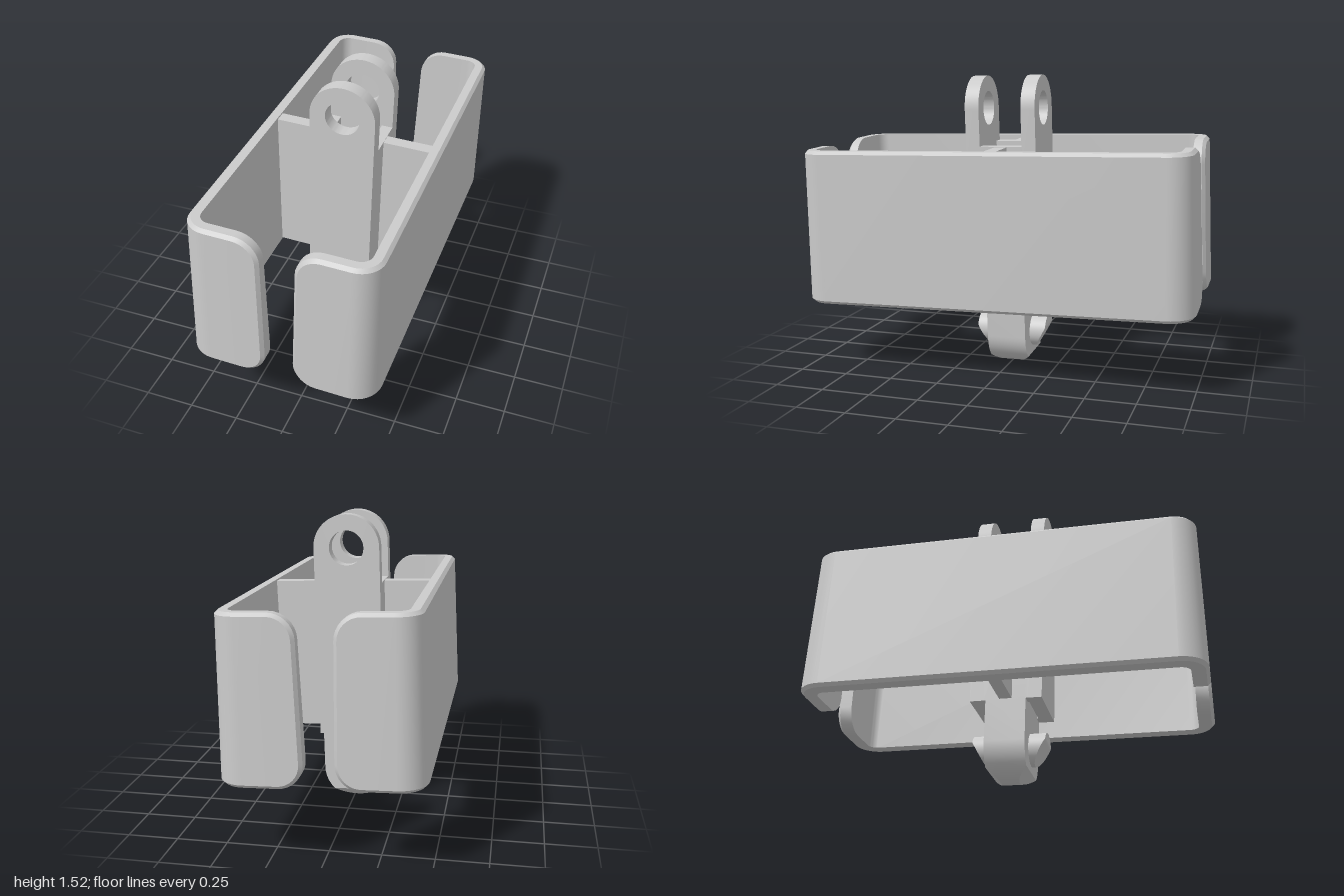
import * as THREE from 'three';
import { toCreasedNormals } from 'three/addons/utils/BufferGeometryUtils.js';

const material = new THREE.MeshStandardMaterial({ color: 0xcccccc, roughness: 0.7 });

function addMesh(parent, name, geometry) {
  const mesh = new THREE.Mesh(geometry, material);
  mesh.name = name;
  parent.add(mesh);
  return mesh;
}

function addBox(parent, name, [x0, x1], [y0, y1], [z0, z1]) {
  const geometry = new THREE.BoxGeometry(x1 - x0, y1 - y0, z1 - z0);
  addMesh(parent, name, geometry).position.set((x0 + x1) / 2, (y0 + y1) / 2, (z0 + z1) / 2);
}

// Joins closed rings of points into a skin; caps lists ring indices of the end quads.
function skin(rings, caps) {
  const n = rings[0].length;
  const positions = rings.flat(2);
  const index = [];
  const quad = (a, b, c, d) => index.push(a, b, c, a, c, d);
  for (let i = 0; i < rings.length - 1; i++) {
    for (let k = 0; k < n; k++) {
      const k2 = (k + 1) % n;
      quad(i * n + k, (i + 1) * n + k, (i + 1) * n + k2, i * n + k2);
    }
  }
  const last = (rings.length - 1) * n;
  for (const [a, b, c, d] of caps) {
    quad(a, b, c, d);
    quad(last + d, last + c, last + b, last + a);
  }
  const geometry = new THREE.BufferGeometry();
  geometry.setAttribute('position', new THREE.Float32BufferAttribute(positions, 3));
  geometry.setIndex(index);
  return toCreasedNormals(geometry, 0.6);
}

// Solid from rows [y, half width, half depth], listed from the top down.
function loftRows(rows) {
  const rings = rows.map(([y, w, t]) => [[-w, y, t], [-w, y, -t], [w, y, -t], [w, y, t]].reverse());
  return skin(rings, [[0, 1, 2, 3]]);
}

const BOTTOM = -0.375, TOP = 0.412; // heights measured from the middle of the link
const HALF_W = 0.475, HALF_L = 1, CORNER = 0.13;
const GAP = 0.068, FLAP_R = 0.12, EDGE = 0.016;

// C-shaped side bracket with drafted walls and flaps with rounded corners.
function bracketGeometry() {
  const steps = 8;
  const stations = [];
  for (let i = 0; i <= steps; i++) stations.push({ flap: (i / steps) * Math.PI / 2 });
  for (let i = 0; i <= steps; i++) stations.push({ flap: Math.PI / 2, turn: (i / steps) * Math.PI / 2 });

  // inner: on the inside face, q: edge chamfer of this layer, u: depth below the outer face
  const layers = [
    { inner: true, q: 0, up: false }, { u: EDGE, q: 0, up: false }, { u: 0, q: EDGE, up: false },
    { u: 0, q: EDGE, up: true }, { u: EDGE, q: 0, up: true }, { inner: true, q: 0, up: true },
  ];
  const half = stations.map(({ flap, turn }) => layers.map(({ inner, u, q, up }) => {
    const inset = FLAP_R - (FLAP_R - q) * Math.sin(flap);
    const y = up ? TOP - inset : BOTTOM + inset;
    const rise = (y - BOTTOM) / (TOP - BOTTOM);
    const depth = inner ? 0.083 - 0.01 * rise : u + 0.015 * rise;
    if (turn === undefined) {
      const along = FLAP_R - (FLAP_R - q) * Math.cos(flap);
      return [GAP + 0.018 * rise + along, y, HALF_L - depth];
    }
    const r = CORNER - depth;
    return [HALF_W - CORNER + r * Math.sin(turn), y, HALF_L - CORNER + r * Math.cos(turn)];
  }));
  const back = half.map((ring) => ring.map(([x, y, z]) => [x, y, -z])).reverse();
  return skin([...half, ...back], [[0, 1, 4, 5], [1, 2, 3, 4]]);
}

// Upright plate with a round top and a pin hole.
function lugGeometry(r, holeY, holeR, depth) {
  const shape = new THREE.Shape();
  shape.moveTo(-r, BOTTOM);
  shape.lineTo(r, BOTTOM);
  shape.lineTo(r, holeY);
  shape.absarc(0, holeY, r, 0, Math.PI, false);
  shape.closePath();
  const hole = new THREE.Path();
  hole.absarc(0, holeY, holeR, 0, Math.PI * 2, true);
  shape.holes.push(hole);
  const geometry = new THREE.ExtrudeGeometry(shape, { depth, bevelEnabled: false, curveSegments: 32 });
  return toCreasedNormals(geometry, 0.6);
}

export function createModel() {
  const model = new THREE.Group();
  model.name = 'chainLink';
  const link = new THREE.Group();
  link.name = 'link';
  link.position.set(0.006, 0.761, 0.008);
  link.rotation.set(0.02, 0, -0.033); // slight lean
  model.add(link);

  // Side brackets
  const bracket = bracketGeometry();
  addMesh(link, 'leftBracket', bracket);
  addMesh(link, 'rightBracket', bracket).rotation.y = Math.PI;

  // Clevis lugs
  const R = 0.166, PIN_Y = 0.59;
  const lug = lugGeometry(R, PIN_Y, 0.087, 0.073);
  addMesh(link, 'frontLug', lug).position.z = 0.11;
  addMesh(link, 'backLug', lug).position.z = -0.183;

  // Cheeks closing the sides of the hollow body, and webs out to the brackets
  for (const [side, s] of [['left', 1], ['right', -1]]) {
    const span = (a, b) => (s > 0 ? [a, b] : [-b, -a]);
    addBox(link, side + 'Cheek', span(0.11, R), [BOTTOM, TOP - 0.005], [-0.112, 0.112]);
    addBox(link, side + 'Web', span(R - 0.005, 0.42), [BOTTOM + 0.004, TOP - 0.008], [-0.032, 0.032]);
  }

  // Bottom tab, round with a chamfered tip
  const tabRows = [[-0.3, R, 0.102]];
  const crease = R * Math.SQRT1_2;
  for (let i = 0; i <= 12; i++) {
    const a = (i / 12) * Math.PI / 2;
    const drop = R * Math.sin(a);
    tabRows.push([-PIN_Y - drop, Math.max(R * Math.cos(a), 0.003), 0.102 - Math.max(0, drop - crease) * 1.15]);
  }
  addMesh(link, 'bottomTab', loftRows(tabRows));

  // Snap pin with sloped lower ends
  const pinRows = [];
  const r = 0.083, slopeStart = r * Math.sin(Math.PI / 8);
  for (let i = 0; i <= 24; i++) {
    const a = Math.PI / 2 - (i / 24) * Math.PI;
    const y = r * Math.sin(a);
    pinRows.push([-PIN_Y + y, Math.max(r * Math.cos(a), 0.002), 0.185 - Math.max(0, slopeStart - y) * 0.55]);
  }
  addMesh(link, 'snapPin', loftRows(pinRows));

  return model;
}
